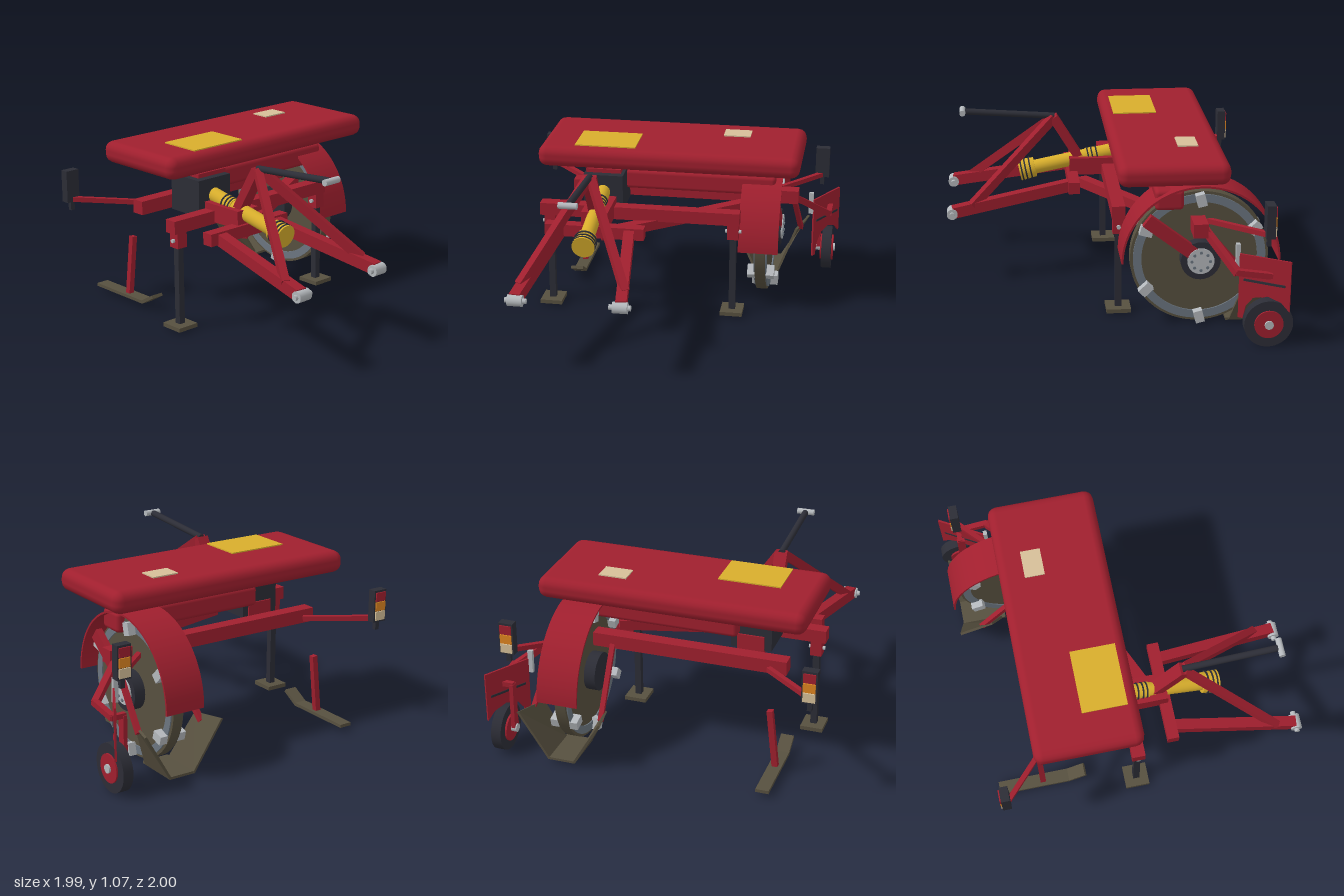
import * as THREE from 'three';
import { toCreasedNormals } from 'three/addons/utils/BufferGeometryUtils.js';
import { RoundedBoxGeometry } from 'three/addons/geometries/RoundedBoxGeometry.js';

const mat = (name, color) => {
  const m = new THREE.MeshStandardMaterial({ color });
  m.name = name;
  return m;
};

export function createModel() {
  const model = new THREE.Group();
  model.name = 'ditcher';
  const red = mat('red paint', 0xa01f2e), dark = mat('dark rubber', 0x2c2d36);
  const yellow = mat('yellow plastic', 0xd8ae2c), olive = mat('worn steel', 0x57503f);
  const steel = mat('rim steel', 0x6c7680), grey = mat('bright steel', 0xb4b8bc);
  const beige = mat('beige label', 0xd6bf98), orange = mat('orange lens', 0xdd8420);
  const V = (p) => new THREE.Vector3(...p);

  const add = (name, geo, m, pos = [0, 0, 0]) => {
    const mesh = new THREE.Mesh(geo, m);
    mesh.name = name;
    mesh.position.set(...pos);
    model.add(mesh);
    return mesh;
  };
  // box given by its limits
  const box = (name, m, x0, x1, y0, y1, z0, z1) => add(name,
    new THREE.BoxGeometry(x1 - x0, y1 - y0, z1 - z0), m, [(x0 + x1) / 2, (y0 + y1) / 2, (z0 + z1) / 2]);
  // rectangular bar between two points
  const bar = (name, m, a, b, w, h = w) => {
    const p = V(a), q = V(b);
    const mesh = add(name, new THREE.BoxGeometry(w, h, p.distanceTo(q)), m, p.clone().add(q).multiplyScalar(0.5).toArray());
    mesh.lookAt(q);
    return mesh;
  };
  // round rod between two points
  const rod = (name, m, a, b, r0, r1 = r0, n = 24) => {
    const p = V(a), q = V(b);
    const mesh = add(name, new THREE.CylinderGeometry(r1, r0, p.distanceTo(q), n), m, p.clone().add(q).multiplyScalar(0.5).toArray());
    mesh.quaternion.setFromUnitVectors(new THREE.Vector3(0, 1, 0), q.sub(p).normalize());
    return mesh;
  };
  // annulus (or half of one) around the x axis at the digging wheel centre
  const CY = 0.42, CZ = -0.5;
  const band = (name, m, ri, ro, x0, x1, half) => {
    const s = new THREE.Shape(), end = half ? Math.PI : Math.PI * 2;
    s.absarc(0, 0, ro, 0, end, false);
    if (half) s.absarc(0, 0, ri, end, 0, true);
    else s.holes.push(new THREE.Path().absarc(0, 0, ri, 0, end, true));
    const g = new THREE.ExtrudeGeometry(s, { depth: x1 - x0, bevelEnabled: false, curveSegments: 48 });
    add(name, toCreasedNormals(g, 0.5), m, [x0, CY, CZ]).rotation.y = Math.PI / 2;
  };

  // hood with two labels
  add('hood', new RoundedBoxGeometry(1.63, 0.135, 0.65, 2, 0.056), red, [-0.035, 0.993, -0.325]);
  box('yellowLabel', yellow, -0.62, -0.24, 1.059, 1.068, -0.33, -0.06);
  box('beigeLabel', beige, 0.27, 0.44, 1.059, 1.068, -0.5, -0.38);

  // gearbox and main drive tube
  box('gearbox', dark, -0.575, -0.325, 0.64, 0.865, -0.33, -0.08);
  box('gearboxLid', red, -0.56, -0.34, 0.875, 0.9, -0.32, -0.1);
  box('gearboxNeck', dark, -0.53, -0.37, 0.86, 0.88, -0.29, -0.13);
  rod('fillerCap', dark, [-0.45, 0.9, -0.21], [-0.45, 0.915, -0.21], 0.025);
  add('driveTube', new RoundedBoxGeometry(1.0, 0.125, 0.17, 2, 0.025), red, [0.12, 0.792, -0.315]);

  // chassis
  box('spineBeam', red, -0.53, -0.365, 0.62, 0.73, -0.34, 0.21);
  box('frontBeam', red, -0.757, -0.14, 0.57, 0.645, 0.16, 0.23);
  box('middleBeam', red, -0.84, 0.42, 0.61, 0.69, -0.075, 0.005);
  box('rearBeam', red, -0.72, 0.48, 0.605, 0.69, -0.525, -0.44);
  box('rearBeamStub', red, 0.6, 0.75, 0.605, 0.69, -0.525, -0.44);
  bar('frameBrace', red, [-0.43, 0.555, 0.13], [0.41, 0.645, -0.27], 0.07, 0.06);
  bar('wheelArm', red, [0.63, 0.68, -0.18], [0.63, 0.44, -0.49], 0.04, 0.08);

  // three point hitch
  for (const s of [-1, 1]) {
    const x = (d) => -0.45 + s * d;
    bar('lowerArm', red, [x(0.215), 0.605, 0.19], [x(0.31), 0.475, 0.96], 0.065, 0.07);
    rod('hitchBall', grey, [x(0.262), 0.47, 0.965], [x(0.35), 0.47, 0.965], 0.034);
    rod('hitchPin', grey, [x(0.24), 0.47, 0.965], [x(0.368), 0.47, 0.965], 0.016);
    bar('mastLeg', red, [x(0.31), 0.51, 0.84], [x(0.01), 0.985, 0.31], 0.045, 0.055);
  }
  bar('mastBackLeg', red, [-0.45, 0.99, 0.31], [-0.45, 0.69, 0.13], 0.08, 0.055);
  rod('topLink', dark, [-0.45, 0.995, 0.3], [-0.45, 1.038, 0.87], 0.02);
  rod('topLinkEye', grey, [-0.505, 1.04, 0.885], [-0.395, 1.04, 0.885], 0.019);

  // drive shaft guard with bellows
  const shaft = (z) => [-0.45, 0.64 + (0.5 - z) * 0.2, z];
  rod('shaftGuard', yellow, shaft(0.45), shaft(-0.09), 0.045);
  for (const [z, r] of [[0.43, 0.07], [0, 0.05]]) {
    rod('bellows', yellow, shaft(z + 0.1), shaft(z), r, r * 0.9);
    for (const d of [0.025, 0.055, 0.08]) rod('bellowsRing', dark, shaft(z + d), shaft(z + d + 0.009), r + 0.002);
  }

  // parking stands
  for (const x of [-0.78, 0.38]) {
    box('standSleeve', red, x - 0.035, x + 0.035, 0.515, 0.64, -0.07, 0);
    rod('standPin', grey, [x - 0.05, 0.56, -0.035], [x + 0.05, 0.56, -0.035], 0.012);
    box('standLeg', dark, x - 0.02, x + 0.02, 0.03, 0.53, -0.055, -0.015);
    box('standFoot', olive, x - 0.07, x + 0.07, 0.01, 0.035, -0.11, 0.04);
  }

  // digging wheel
  rod('diggingDisc', olive, [0.51, CY, CZ], [0.575, CY, CZ], 0.412, 0.412, 64);
  band('discRim', steel, 0.345, 0.395, 0.502, 0.583);
  for (let i = 0; i < 6; i++) {
    const a = Math.PI / 6 + (i * Math.PI) / 3;
    for (const x of [0.605, 0.485]) {
      const t = add('tooth', new THREE.BoxGeometry(0.05, 0.075, 0.055), grey,
        [x, CY + 0.37 * Math.sin(a), CZ - 0.37 * Math.cos(a)]);
      t.rotation.x = a - Math.PI / 2 + 0.25;
    }
  }
  rod('discHub', dark, [0.44, CY, CZ], [0.645, CY, CZ], 0.118, 0.118, 32);
  rod('hubPlate', grey, [0.64, CY, CZ], [0.655, CY, CZ], 0.08, 0.08, 32);
  for (let i = 0; i < 8; i++) {
    const y = CY + 0.055 * Math.sin(i * Math.PI / 4), z = CZ + 0.055 * Math.cos(i * Math.PI / 4);
    rod('hubBolt', steel, [0.65, y, z], [0.662, y, z], 0.01, 0.01, 6);
  }
  band('discGuard', red, 0.458, 0.47, 0.41, 0.66, true);

  // trench shoe: floor and two flared sides
  const plate = (name, m, a, b, c, d) => {
    const up = V(b).sub(V(a)).cross(V(d).sub(V(a))).normalize().multiplyScalar(0.015).toArray();
    const low = [a, b, c, d], high = low.map((p) => p.map((v, i) => v + up[i]));
    const pos = [];
    const quad = (p, q, r, s) => pos.push(...p, ...q, ...r, ...p, ...r, ...s);
    quad(high[0], high[1], high[2], high[3]);
    quad(low[3], low[2], low[1], low[0]);
    for (let i = 0; i < 4; i++) quad(low[i], low[(i + 1) % 4], high[(i + 1) % 4], high[i]);
    const g = new THREE.BufferGeometry();
    g.setAttribute('position', new THREE.Float32BufferAttribute(pos, 3));
    g.computeVertexNormals();
    add(name, g, m);
  };
  plate('shoeFloor', olive, [0.45, 0.02, -0.66], [0.62, 0.02, -0.66], [0.62, 0.02, -0.94], [0.45, 0.02, -0.94].slice());
  plate('shoeSide', olive, [0.62, 0.02, -0.68], [0.73, 0.3, -0.75], [0.8, 0.32, -0.96], [0.62, 0.02, -0.94]);
  plate('shoeSide', olive, [0.31, 0.3, -0.75], [0.45, 0.02, -0.68], [0.45, 0.02, -0.94], [0.27, 0.32, -0.96]);
  bar('shoeStrut', red, [0.36, 0.64, -0.5], [0.325, 0.27, -0.82], 0.03);
  bar('shoeStrut', red, [0.71, 0.66, -0.5], [0.75, 0.29, -0.82], 0.03);

  // side deflector panel, arched over the trailing wheel
  const panel = new THREE.Shape([[0, 0.14], [0.03, 0.14], [0.045, 0.22], [0.09, 0.28], [0.178, 0.305],
    [0.26, 0.28], [0.311, 0.23], [0.311, 0.54], [0, 0.54]].map((p) => new THREE.Vector2(...p)));
  const turn = Math.atan2(0.27, 0.155);
  add('deflector', new THREE.ExtrudeGeometry(panel, { depth: 0.012, bevelEnabled: false }), red, [0.83, 0, -0.7]).rotation.y = turn;
  add('deflectorSlot', new THREE.BoxGeometry(0.25, 0.014, 0.02), dark, [0.913, 0.385, -0.832]).rotation.y = turn;
  box('adjusterPost', grey, 0.805, 0.835, 0.45, 0.595, -0.7, -0.675);

  // trailing wheel and its arm
  rod('trailingTyre', dark, [0.897, 0.145, -0.855], [0.96, 0.145, -0.855], 0.143, 0.143, 40);
  rod('trailingHub', red, [0.885, 0.145, -0.855], [0.97, 0.145, -0.855], 0.085, 0.085, 32);
  rod('trailingAxle', grey, [0.85, 0.145, -0.855], [0.982, 0.145, -0.855], 0.026);
  bar('trailingArm', red, [0.69, 0.64, -0.51], [0.94, 0.46, -0.67], 0.04, 0.04);
  bar('trailingArmRear', red, [0.94, 0.47, -0.66], [0.94, 0.44, -0.86], 0.035);
  bar('trailingFork', red, [0.87, 0.44, -0.85], [0.87, 0.14, -0.855], 0.025, 0.05);
  bar('forkBridge', red, [0.86, 0.44, -0.855], [0.955, 0.44, -0.855], 0.03);

  // rear lamps on rods
  for (const [x, inner] of [[-0.945, -0.62], [0.877, 0.57]]) {
    box('lampHousing', dark, x - 0.045, x + 0.045, 0.655, 0.855, -0.882, -0.83);
    box('lampStub', dark, x - 0.014, x + 0.014, 0.6, 0.66, -0.865, -0.84);
    [red, orange, beige].forEach((m, i) =>
      box('lens', m, x - 0.036, x + 0.036, 0.787 - i * 0.06, 0.842 - i * 0.06, -0.89, -0.881));
    bar('lampRod', red, [x, 0.67, -0.845], [inner, 0.645, -0.55], 0.03);
  }

  // depth skid with upturned toe
  box('skid', olive, -0.735, -0.655, 0.03, 0.05, -0.9, -0.45);
  bar('skidToe', olive, [-0.695, 0.04, -0.455], [-0.695, 0.1, -0.35], 0.08, 0.02);
  bar('skidStem', red, [-0.695, 0.045, -0.62], [-0.655, 0.415, -0.62], 0.035);

  return model;
}
